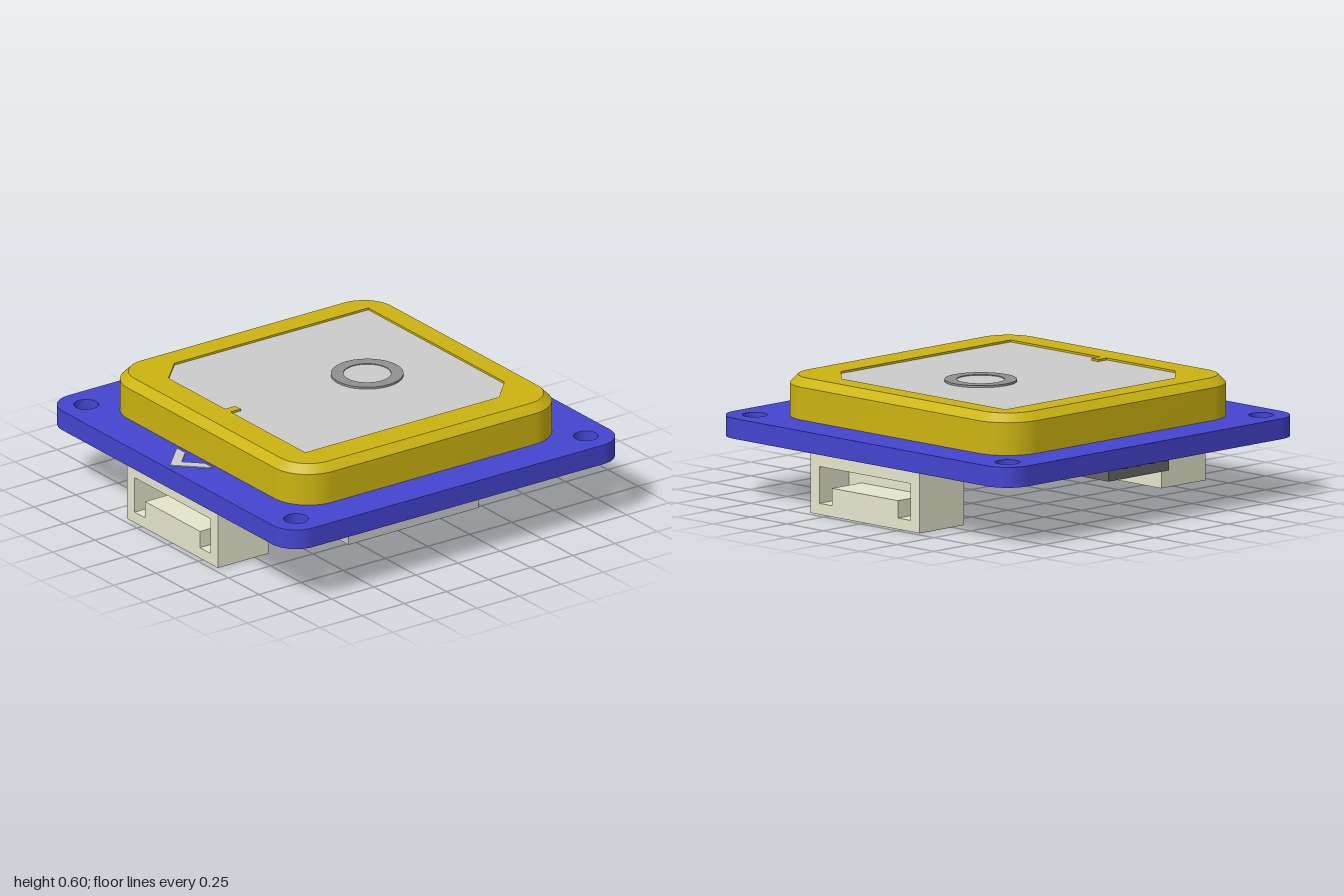
import * as THREE from 'three';
import { toCreasedNormals } from 'three/addons/utils/BufferGeometryUtils.js';

const mat = (color) => new THREE.MeshStandardMaterial({ color });
const blue = mat(0x4444d0), yellow = mat(0xccb410), grey = mat(0xcccccc);
const darkGrey = mat(0x909090), chipGrey = mat(0x666666), ivory = mat(0xe5e5cc);

// Plan shapes are drawn as (x, z) and laid flat, extruded upwards from y.
const plan = (pts) => new THREE.Shape(pts.map(([x, z]) => new THREE.Vector2(x, -z)));

function roundedSquare(h, r) {
  const s = new THREE.Shape();
  s.absarc(h - r, h - r, r, 0, Math.PI / 2);
  s.absarc(r - h, h - r, r, Math.PI / 2, Math.PI);
  s.absarc(r - h, r - h, r, Math.PI, Math.PI * 1.5);
  s.absarc(h - r, r - h, r, Math.PI * 1.5, Math.PI * 2);
  s.closePath();
  return s;
}

function circlePath(x, z, r) {
  return new THREE.Path().absarc(x, -z, r, 0, Math.PI * 2);
}

function slab(shape, y, depth) {
  const g = new THREE.ExtrudeGeometry(shape, { depth, bevelEnabled: false, curveSegments: 16 });
  g.rotateX(-Math.PI / 2).translate(0, y, 0);
  return toCreasedNormals(g, 0.5);
}

// Side wall through stacked rounded squares [half width, radius, y].
function wall(sections) {
  const rings = sections.map(([h, r, y]) =>
    roundedSquare(h, r).getPoints(10).map((p) => [p.x, y, -p.y]));
  const pos = [];
  for (let k = 0; k + 1 < rings.length; k++) {
    const a = rings[k], b = rings[k + 1], n = a.length;
    for (let i = 0; i < n; i++) {
      const j = (i + 1) % n;
      if (Math.hypot(a[i][0] - a[j][0], a[i][2] - a[j][2]) < 1e-6) continue;
      pos.push(...a[i], ...a[j], ...b[j], ...a[i], ...b[j], ...b[i]);
    }
  }
  const g = new THREE.BufferGeometry();
  g.setAttribute('position', new THREE.Float32BufferAttribute(pos, 3));
  return toCreasedNormals(g, 0.5);
}

export function createModel() {
  const model = new THREE.Group();
  const add = (name, geo, material, parent = model) => {
    const m = new THREE.Mesh(geo, material);
    m.name = name;
    parent.add(m);
    return m;
  };
  const box = (name, [x0, x1], [y0, y1], [z0, z1], material, parent) =>
    add(name, new THREE.BoxGeometry(x1 - x0, y1 - y0, z1 - z0), material, parent)
      .position.set((x0 + x1) / 2, (y0 + y1) / 2, (z0 + z1) / 2);

  // Circuit board with four mounting holes
  const board = roundedSquare(1, 0.14);
  for (const x of [-0.86, 0.86])
    for (const z of [-0.86, 0.86]) board.holes.push(circlePath(x, z, 0.06));
  add('circuitBoard', slab(board, 0.3, 0.1), blue);

  // Ceramic antenna block, chamfered, with a shallow recess for the patch
  const patchOutline = [
    [-0.625, 0.61], [0.525, 0.61], [0.655, 0.475], [0.655, -0.64], [-0.495, -0.64],
    [-0.625, -0.51], [-0.625, -0.045], [-0.565, -0.045], [-0.565, 0], [-0.625, 0],
  ];
  const antenna = new THREE.Group();
  antenna.name = 'antenna';
  model.add(antenna);
  add('antennaBody', wall([[0.8, 0.2, 0.4], [0.8, 0.2, 0.56], [0.76, 0.16, 0.6]]), yellow, antenna);
  const rim = roundedSquare(0.76, 0.16);
  rim.holes.push(plan(patchOutline));
  const rimGeo = new THREE.ExtrudeGeometry(rim, { depth: 0.01, bevelEnabled: false, curveSegments: 10 });
  add('antennaRim', rimGeo.rotateX(-Math.PI / 2).translate(0, 0.59, 0), yellow, antenna);
  add('antennaPatch', slab(plan(patchOutline), 0.57, 0.02), grey, antenna);

  // Feed point: dark ring around a grey disc
  const ring = new THREE.Shape().absarc(0.185, 0, 0.175, 0, Math.PI * 2);
  ring.holes.push(circlePath(0.185, 0, 0.115));
  add('feedRing', slab(ring, 0.588, 0.012), darkGrey, antenna);
  add('feedPoint', slab(new THREE.Shape().absarc(0.185, 0, 0.115, 0, Math.PI * 2), 0.588, 0.008), grey, antenna);

  // Direction chevron on top of the board
  add('chevron', slab(plan([
    [-0.975, -0.015], [-0.825, 0.135], [-0.825, 0.065],
    [-0.905, -0.015], [-0.825, -0.095], [-0.825, -0.165],
  ]), 0.4, 0.005), grey);

  // Two sockets opening outwards, each with a tongue inside
  for (const side of [1, -1]) {
    const socket = new THREE.Group();
    socket.name = side > 0 ? 'leftSocket' : 'rightSocket';
    const face = new THREE.Shape([[-0.372, 0], [0.372, 0], [0.372, 0.3], [-0.372, 0.3]]
      .map((p) => new THREE.Vector2(...p)));
    face.holes.push(new THREE.Path([
      [-0.31, 0.055], [-0.31, 0.235], [0.31, 0.235], [0.31, 0.055],
      [0.225, 0.055], [0.225, 0.14], [-0.225, 0.14], [-0.225, 0.055],
    ].map((p) => new THREE.Vector2(...p))));
    const shell = new THREE.ExtrudeGeometry(face, { depth: 0.2, bevelEnabled: false });
    add('socketShell', shell.translate(0, 0, 0.77), ivory, socket);
    box('socketBack', [-0.372, 0.372], [0, 0.3], [0.67, 0.77], ivory, socket);
    socket.rotation.y = side * Math.PI / 2;
    model.add(socket);
  }

  // Battery block under the front edge
  box('batteryBlock', [-0.57, 0.2], [0.2, 0.3], [0.41, 0.89], grey);

  // Sensor chip with four round-ended pads on each side
  const chip = new THREE.Group();
  chip.name = 'sensorChip';
  chip.position.set(0, 0, -0.685);
  model.add(chip);
  box('chipBody', [-0.205, 0.205], [0.22, 0.3], [-0.205, 0.205], chipGrey, chip);
  const dot = add('chipDot', new THREE.CylinderGeometry(0.035, 0.035, 0.004, 24), darkGrey, chip);
  dot.position.set(-0.14, 0.219, 0.145);
  const pad = new THREE.Shape();
  pad.moveTo(0.19, -0.023);
  pad.absarc(0.234, 0, 0.023, -Math.PI / 2, Math.PI / 2);
  pad.lineTo(0.19, 0.023);
  for (let s = 0; s < 4; s++) {
    const row = new THREE.Group();
    row.name = 'padRow';
    row.rotation.y = s * Math.PI / 2;
    for (let i = 0; i < 4; i++)
      add('pad', slab(pad, 0.28, 0.02), blue, row).position.z = (i - 1.5) * 0.09;
    chip.add(row);
  }

  // Axis arrows under the board
  add('axisArrows', slab(plan([
    [-0.27, 0.3], [0.16, 0.3], [0.16, 0.39], [0.34, 0.27], [0.16, 0.15], [0.16, 0.24],
    [-0.21, 0.24], [-0.21, -0.08], [-0.12, -0.08], [-0.24, -0.26], [-0.36, -0.08], [-0.27, -0.08],
  ]), 0.29, 0.01), darkGrey);

  return model;
}
